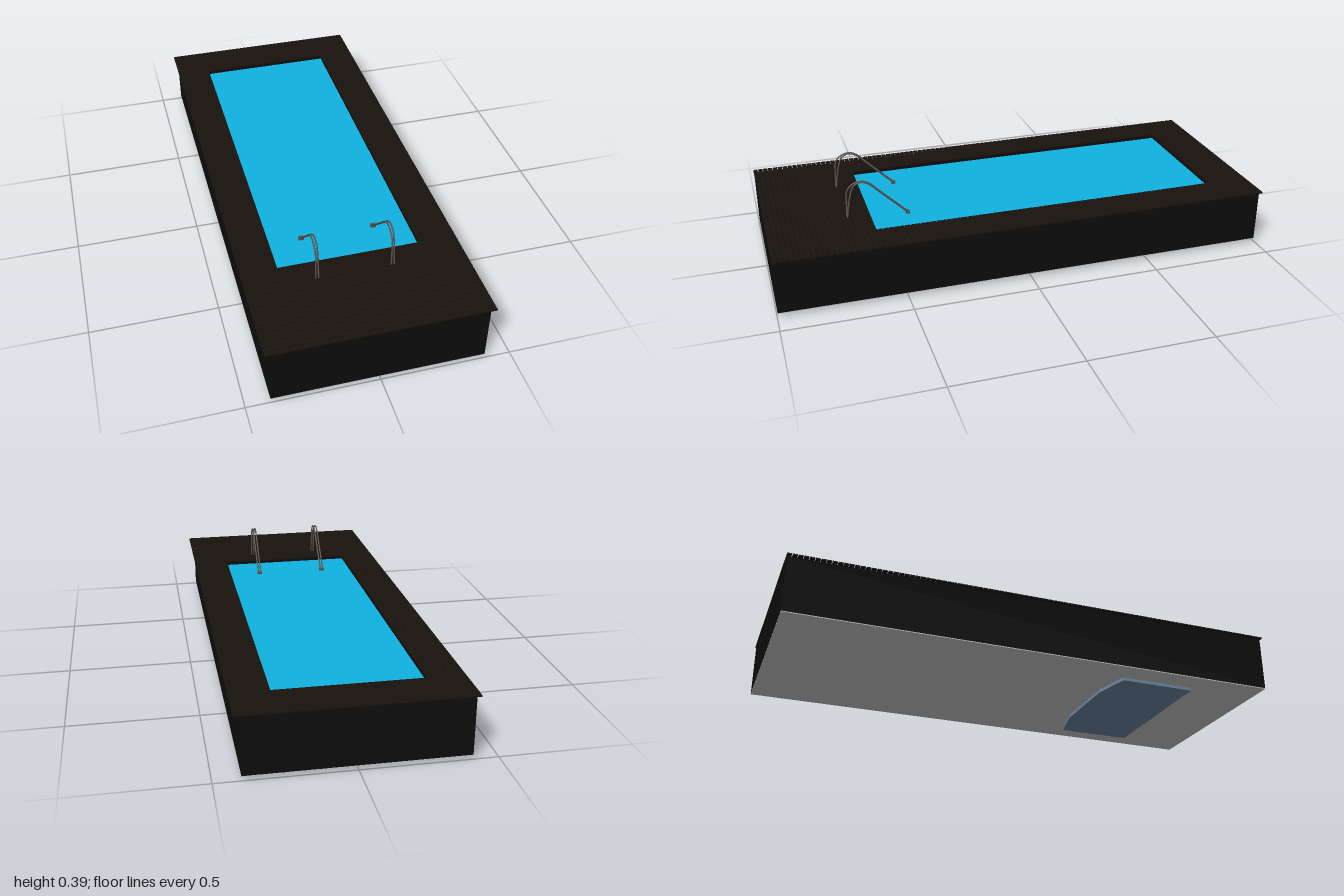
import * as THREE from 'three';

const mat = (color, side = THREE.FrontSide) => new THREE.MeshStandardMaterial({ color, side });

export function createModel() {
  const model = new THREE.Group();
  const black = mat(0x0d0d0d), wood = mat(0x1a130e), grey = mat(0xcccccc);
  const water = mat(0x10b2e2), blue = mat(0x6f8ba6), steel = mat(0x5c5551);

  const add = (name, geometry, material, parent = model) => {
    const mesh = new THREE.Mesh(geometry, material);
    mesh.name = name;
    parent.add(mesh);
    return mesh;
  };
  // Box given by its limits on each axis
  const slab = (name, [x0, x1], [y0, y1], [z0, z1], material, parent) => {
    const mesh = add(name, new THREE.BoxGeometry(x1 - x0, y1 - y0, z1 - z0), material, parent);
    mesh.position.set((x0 + x1) / 2, (y0 + y1) / 2, (z0 + z1) / 2);
    return mesh;
  };
  // Plan outline in (x, z) extruded upward
  const plan = (points) => points.map(([x, z]) => new THREE.Vector2(x, -z));
  const rect = ([x0, x1], [z0, z1]) => plan([[x0, z0], [x0, z1], [x1, z1], [x1, z0]]);
  const raise = (shape, y, height) =>
    new THREE.ExtrudeGeometry(shape, { depth: height, bevelEnabled: false })
      .rotateX(-Math.PI / 2).translate(0, y, 0);

  const poolX = [-0.282, 0.276], poolZ = [-0.828, 0.59];
  const bodyX = [-0.408, 0.401], bodyZ = [-0.997, 0.997];

  // Outer shell with the basin opening
  const shell = new THREE.Shape(rect(bodyX, bodyZ));
  shell.holes.push(new THREE.Path(rect(poolX, poolZ)));
  add('shell', raise(shell, 0.016, 0.222), black);
  slab('basePlate', bodyX, [0.013, 0.0165], bodyZ, grey);

  // Water surface just below the deck
  slab('water', poolX, [0.02, 0.226], poolZ, water);

  // Entry step block under the floor, with a bowed inner edge
  const step = new THREE.Shape(plan([
    [-0.31, 0.70], [0.30, 0.70], [0.30, 0.39], [0.15, 0.355], [-0.16, 0.355], [-0.31, 0.39],
  ]));
  add('entryStep', raise(step, 0, 0.0135), blue);

  // Deck boards laid across the pool, split where they meet the opening
  const deck = new THREE.Group();
  deck.name = 'deck';
  model.add(deck);
  const boards = 96, pitch = 2 / boards, gap = 0.0028, deckY = [0.238, 0.243], half = 0.425;
  for (let i = 0; i < boards; i++) {
    const z0 = -1 + i * pitch + gap / 2, z1 = z0 + pitch - gap;
    const beside = z1 > poolZ[0] && z0 < poolZ[1];
    const spans = beside ? [[-half, poolX[0]], [poolX[1], half]] : [[-half, half]];
    // Boards that straddle an end of the opening keep a full-width strip
    const cuts = [z0, ...poolZ.filter((z) => z > z0 && z < z1), z1];
    if (cuts.length === 2) {
      spans.forEach((s) => slab('board', s, deckY, [z0, z1], wood, deck));
    } else {
      const outer = z0 < poolZ[0] ? [z0, cuts[1]] : [cuts[1], z1];
      spans.forEach((s) => slab('board', s, deckY, [z0, z1], wood, deck));
      slab('endBoard', poolX, deckY, outer, wood, deck);
    }
  }

  // Grab rails: two slim bent rods each
  const rod = (x, lean) => {
    const path = [
      [0.236, 0.68], [0.30, 0.678 - lean * 0.5], [0.35, 0.674 - lean], [0.375, 0.655 - lean * 0.5],
      [0.387, 0.62], [0.376, 0.588], [0.34, 0.55], [0.28, 0.488], [0.226, 0.432],
    ].map(([y, z]) => new THREE.Vector3(x, y, z));
    return new THREE.TubeGeometry(new THREE.CatmullRomCurve3(path), 48, 0.0032, 8);
  };
  for (const [name, x] of [['leftRail', 0.14], ['rightRail', -0.152]]) {
    const rail = new THREE.Group();
    rail.name = name;
    model.add(rail);
    add('outerRod', rod(x - 0.0055, 0), steel, rail);
    add('innerRod', rod(x + 0.0055, 0.014), steel, rail);
    slab('railFoot', [x - 0.01, x + 0.01], [0.226, 0.236], [0.43, 0.446], steel, rail);
  }

  return model;
}
